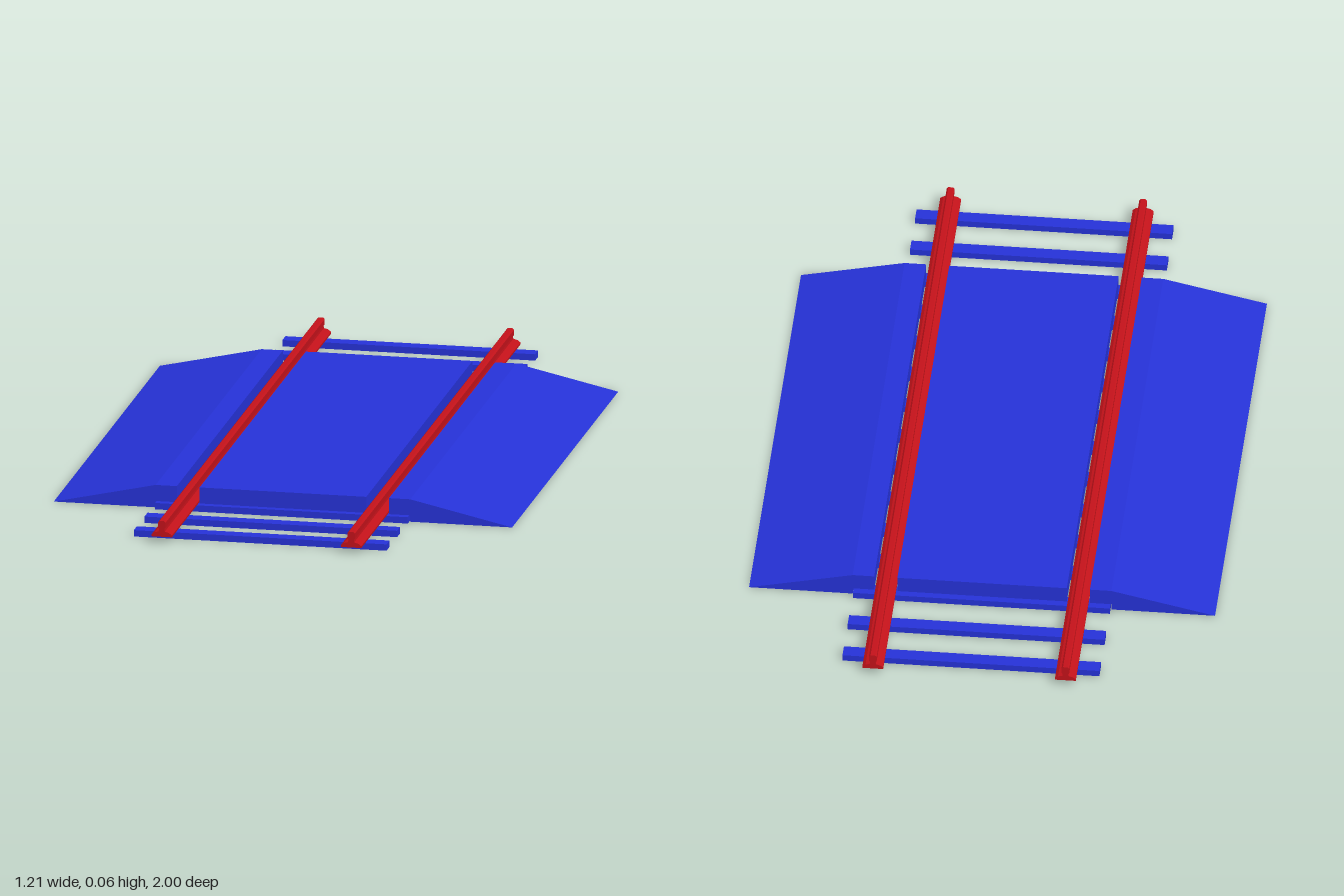
import * as THREE from 'three';

const blue = new THREE.MeshStandardMaterial({ color: 0x2632d8, flatShading: true });
const red = new THREE.MeshStandardMaterial({ color: 0xc4121a, flatShading: true });

// Extrude an x/y outline along z, centred on z = 0
function extrudeAlongZ(points, length) {
  const shape = new THREE.Shape(points.map(([x, y]) => new THREE.Vector2(x, y)));
  const geometry = new THREE.ExtrudeGeometry(shape, { depth: length, bevelEnabled: false });
  return geometry.translate(0, 0, -length / 2);
}

export function createModel() {
  const group = new THREE.Group();
  const add = (name, geometry, material, x = 0, y = 0, z = 0) => {
    const mesh = new THREE.Mesh(geometry, material);
    mesh.name = name;
    mesh.position.set(x, y, z);
    group.add(mesh);
  };

  const gauge = 0.25;        // rail centre from the track axis
  const sleeperTop = 0.017;
  const deckTop = 0.06;
  const deckLength = 1.333;

  // Sleepers, evenly spaced under the rails
  const sleeper = new THREE.BoxGeometry(0.667, sleeperTop, 0.038);
  for (let i = -7; i <= 7; i++) add('sleeper', sleeper, blue, 0, sleeperTop / 2, i * 0.1333);

  // Rails: wide foot, thin web, chamfered head
  const half = [
    [0.027, 0], [0.027, 0.005], [0.019, 0.011], [0.008, 0.014],
    [0.007, 0.021], [0.01, 0.024], [0.01, 0.038], [0.006, 0.042],
  ];
  const railOutline = [...half, ...half.map(([x, y]) => [-x, y]).reverse()];
  const rail = extrudeAlongZ(railOutline, 2);
  add('leftRail', rail, red, gauge, sleeperTop);
  add('rightRail', rail, red, -gauge, sleeperTop);

  // Deck between the rails
  const deckHeight = deckTop - sleeperTop;
  add('centreDeck', new THREE.BoxGeometry(0.44, deckHeight, deckLength), blue,
    0, sleeperTop + deckHeight / 2);

  // Approach ramps, notched to rest over the sleeper ends
  const ramp = [
    [0.28, sleeperTop], [0.336, sleeperTop], [0.336, 0],
    [0.605, 0], [0.336, deckTop], [0.28, deckTop],
  ];
  add('leftRamp', extrudeAlongZ(ramp, deckLength), blue);
  add('rightRamp', extrudeAlongZ(ramp.map(([x, y]) => [-x, y]), deckLength), blue);

  return group;
}
